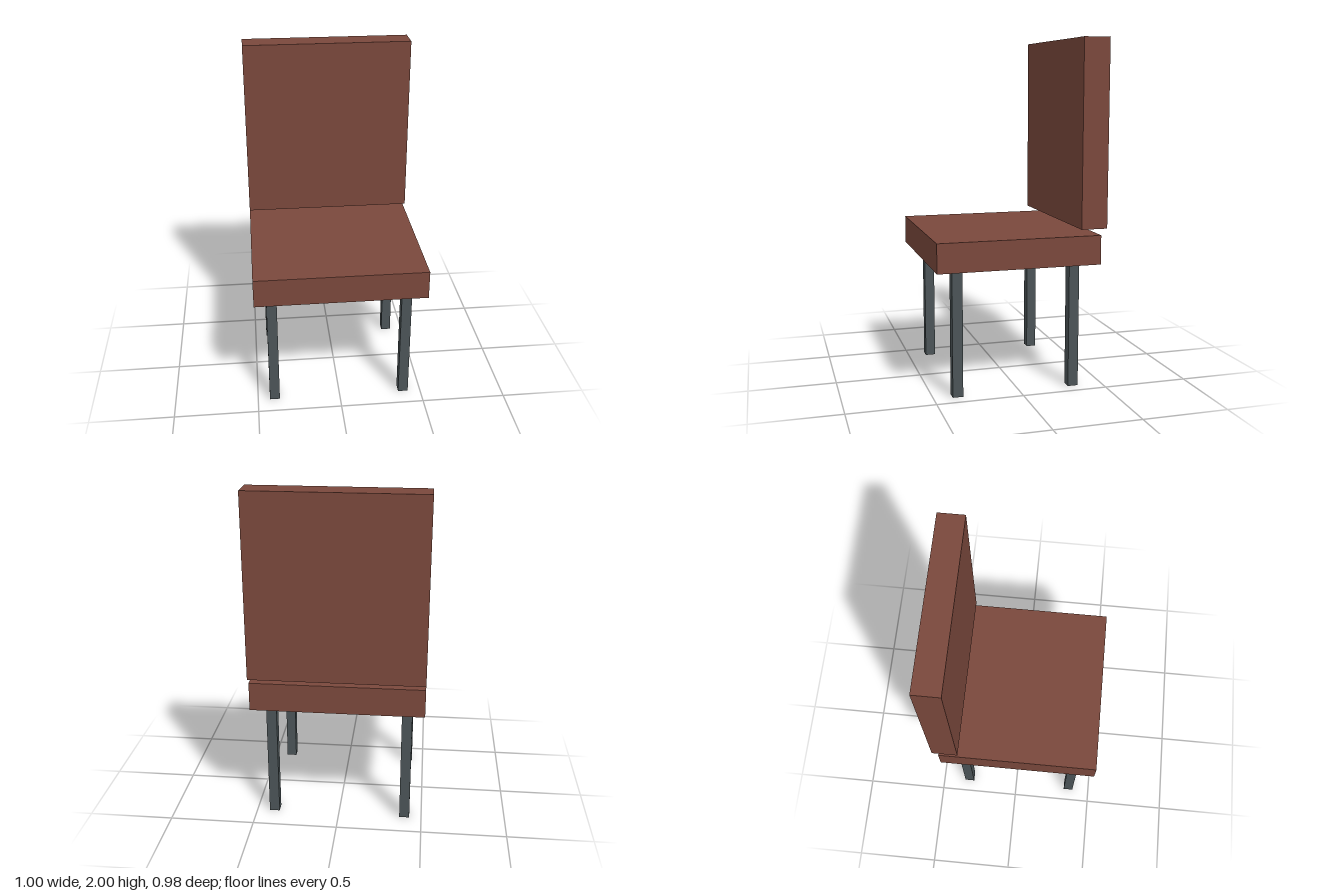
import * as THREE from 'three';

export function createModel() {
  const chair = new THREE.Group();
  chair.name = 'chair';

  const brown = new THREE.MeshStandardMaterial({ color: 0x7a483c });
  const darkGrey = new THREE.MeshStandardMaterial({ color: 0x4b5457 });

  // Box given by its lower and upper limits on each axis
  function addBox(name, material, [x0, x1], [y0, y1], [z0, z1]) {
    const mesh = new THREE.Mesh(new THREE.BoxGeometry(x1 - x0, y1 - y0, z1 - z0), material);
    mesh.position.set((x0 + x1) / 2, (y0 + y1) / 2, (z0 + z1) / 2);
    mesh.name = name;
    chair.add(mesh);
  }

  // Cushioned slabs, with a narrow gap between seat and backrest
  const seatBottom = 0.73;
  addBox('seat', brown, [-0.5, 0.5], [seatBottom, 0.898], [-0.456, 0.491]);
  addBox('backrest', brown, [-0.5, 0.5], [0.935, 2], [-0.491, -0.338]);

  // Four square legs, inset from the seat corners
  const half = 0.03;
  for (const [side, x] of [['Left', 0.394], ['Right', -0.398]]) {
    for (const [end, z] of [['front', 0.362], ['back', -0.325]]) {
      addBox(`${end}${side}Leg`, darkGrey, [x - half, x + half], [0, seatBottom], [z - half, z + half]);
    }
  }

  return chair;
}
